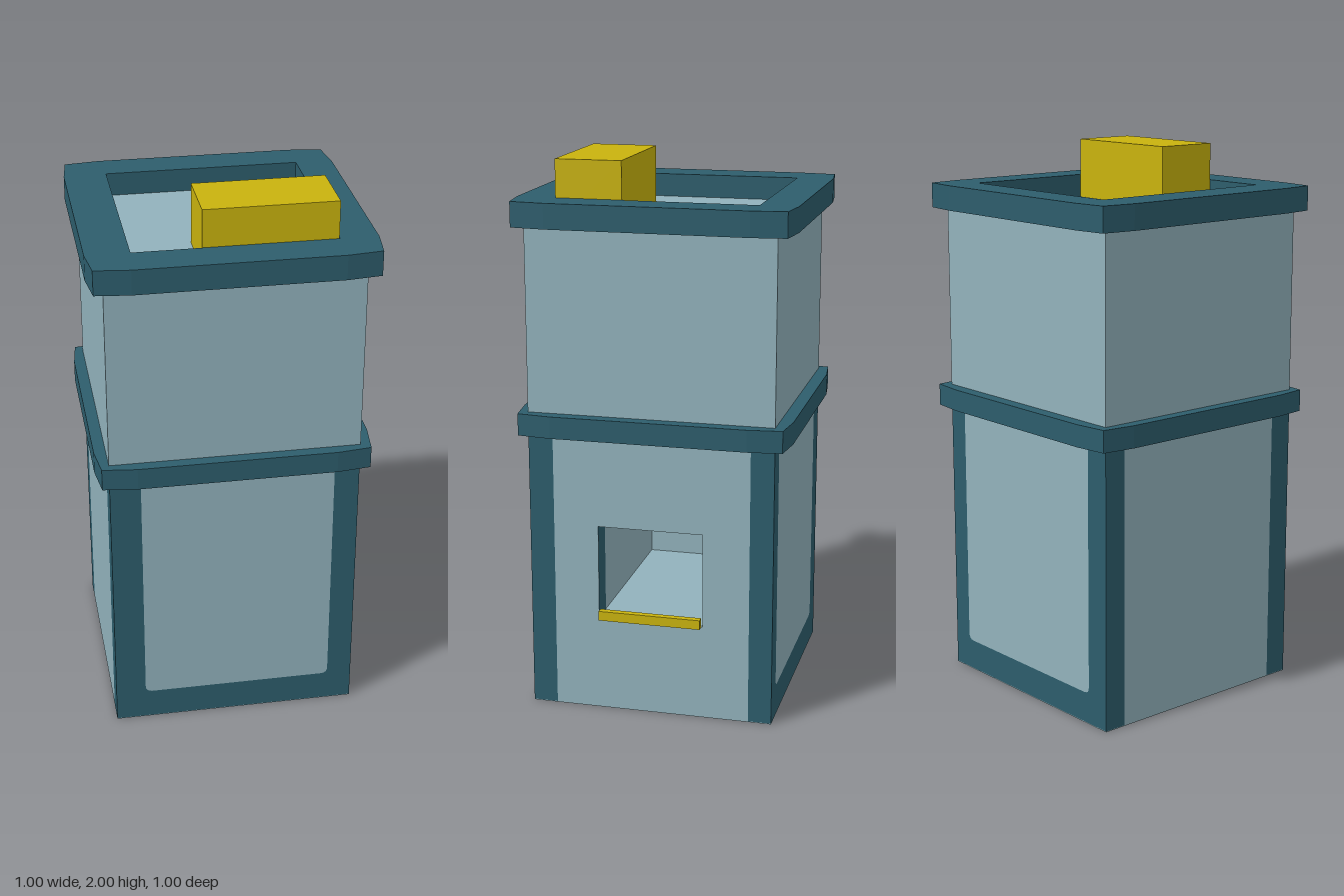
import * as THREE from 'three';

export function createModel() {
  const model = new THREE.Group();
  const mat = (name, color) => {
    const m = new THREE.MeshStandardMaterial({ color });
    m.name = name;
    return m;
  };
  const teal = mat('dark teal trim', 0x2d5d6c);
  const pale = mat('pale blue wall', 0x92b2bc);
  const yellow = mat('yellow', 0xc9b30e);

  const add = (name, geometry, material) => {
    const mesh = new THREE.Mesh(geometry, material);
    mesh.name = name;
    model.add(mesh);
    return mesh;
  };
  // Box given by its limits on each axis
  const box = (name, material, x0, x1, y0, y1, z0, z1) => {
    const g = new THREE.BoxGeometry(x1 - x0, y1 - y0, z1 - z0);
    g.translate((x0 + x1) / 2, (y0 + y1) / 2, (z0 + z1) / 2);
    return add(name, g, material);
  };
  const rect = (x0, x1, y0, y1, P = THREE.Shape) =>
    new P([[x0, y0], [x1, y0], [x1, y1], [x0, y1]].map(p => new THREE.Vector2(...p)));
  const extrude = (shape, depth) =>
    new THREE.ExtrudeGeometry(shape, { depth, bevelEnabled: false, curveSegments: 4 });

  // Limits of the square tower body
  const X0 = -0.45, X1 = 0.445, Z0 = -0.445, Z1 = 0.45, TOP = 1.06;

  // Panel outline with rounded bottom corners
  const panelOutline = (x0, x1, P) => {
    const p = new P(), y = 0.115, r = 0.025;
    p.moveTo(x0, TOP - 0.01);
    p.lineTo(x0, y + r);
    p.quadraticCurveTo(x0, y, x0 + r, y);
    p.lineTo(x1 - r, y);
    p.quadraticCurveTo(x1, y, x1, y + r);
    p.lineTo(x1, TOP - 0.01);
    p.closePath();
    return p;
  };

  // Framed front and back walls with flush panels
  for (const [side, z, depth, x0, x1] of [
    ['front', 0.36, Z1 - 0.36, -0.34, 0.355],
    ['back', Z0, Z0 * -1 - 0.36, -0.355, 0.365],
  ]) {
    const frame = rect(X0, X1, 0.003, TOP);
    frame.holes.push(panelOutline(x0, x1, THREE.Path));
    add(side + 'Frame', extrude(frame, depth), teal).position.z = z;
    add(side + 'Panel', extrude(panelOutline(x0, x1, THREE.Shape), depth), pale).position.z = z;
  }

  // Side walls, the right-hand one pierced by a window with dark jambs
  box('plainSideWall', pale, X0, X0 + 0.085, 0.003, TOP, -0.36, 0.36);
  const wall = rect(-0.36, 0.36, 0.003, TOP);
  wall.holes.push(rect(-0.195, 0.19, 0.35, 0.7, THREE.Path));
  const windowWall = add('windowWall', extrude(wall, 0.085), [pale, teal]);
  windowWall.rotation.y = Math.PI / 2;
  windowWall.position.x = X1 - 0.085;
  box('basePlate', pale, X0, X1, 0, 0.003, Z0, Z1);

  // Chamber behind the window
  box('chamberFloor', pale, -0.3, X1 - 0.001, 0.33, 0.352, -0.19, 0.195);
  box('chamberCeiling', pale, -0.3, 0.36, 1.0, 1.02, -0.19, 0.195);
  box('chamberBack', pale, -0.32, -0.3, 0.33, 1.02, -0.21, 0.215);
  box('chamberSide', pale, -0.3, 0.36, 0.33, 1.02, -0.21, -0.19);
  box('chamberSide', pale, -0.3, 0.36, 0.33, 1.02, 0.195, 0.215);
  box('windowLedge', yellow, X1, 0.47, 0.35, 0.385, -0.185, 0.19);

  // Upper storey, whose top is the sunken roof
  box('upperStorey', pale, X0, X1, 1.04, 1.78, Z0, Z1);

  // Bands with slightly tapered corners
  const bandOutline = s => {
    const corners = [];
    for (let i = 0; i < 4; i++) {
      for (const [x, y] of [[0.5, -0.36], [0.5, 0.36], [0.485, 0.485]]) {
        corners.push(new THREE.Vector2(x * s, y * s).rotateAround(new THREE.Vector2(), i * Math.PI / 2));
      }
    }
    return new THREE.Shape(corners);
  };
  const band = (name, shape, y0, y1) => {
    const g = extrude(shape, y1 - y0);
    g.rotateX(-Math.PI / 2);
    g.translate(0, y0, 0);
    add(name, g, teal);
  };
  band('middleBand', bandOutline(0.985), 1.03, 1.11);
  const parapet = bandOutline(1);
  parapet.holes.push(rect(-0.345, 0.365, -0.36, 0.365, THREE.Path));
  band('roofParapet', parapet, 1.775, 1.865);

  // Block standing in the corner of the roof
  box('roofBlock', yellow, -0.105, 0.363, 1.775, 2, 0.12, 0.359);

  return model;
}
